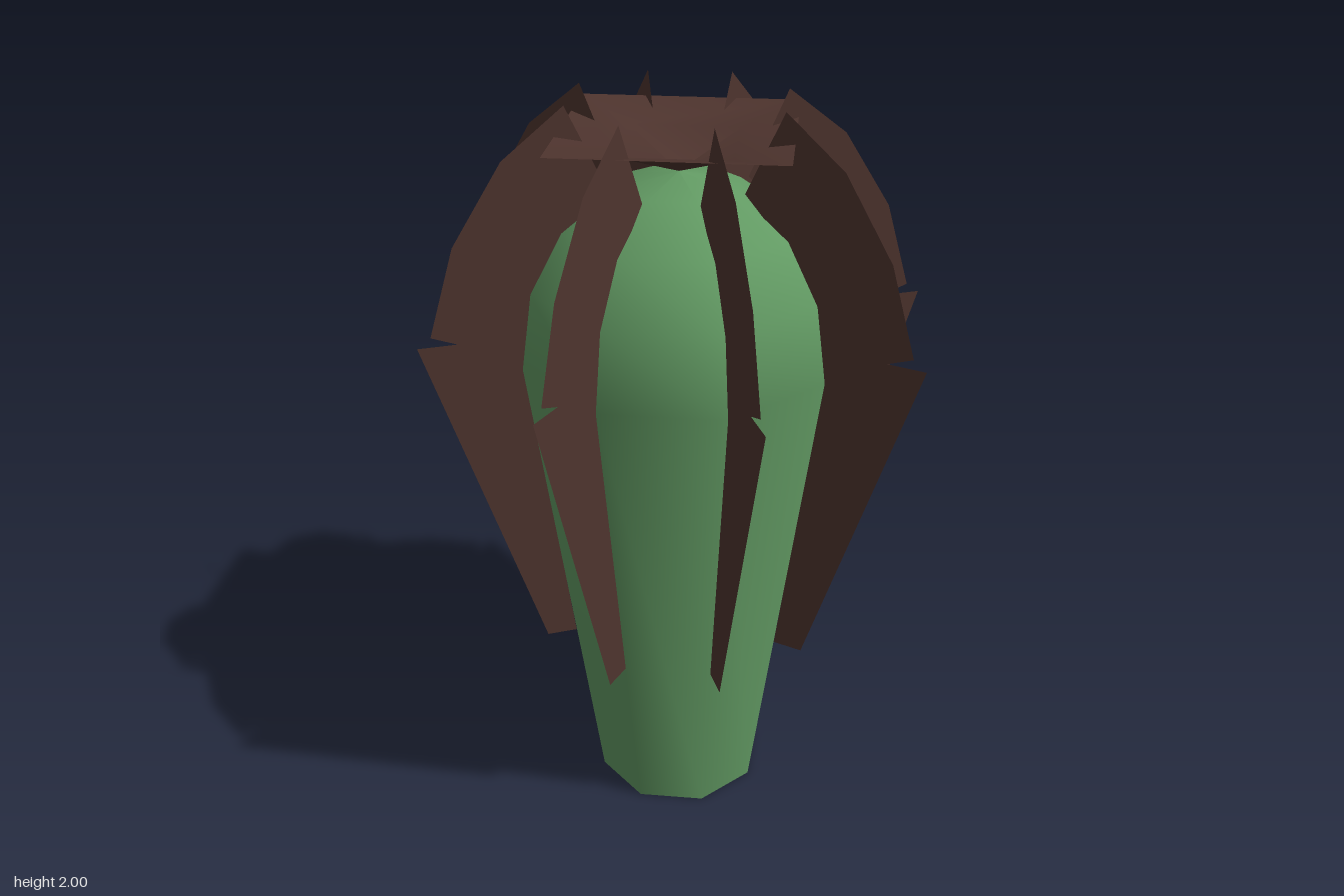
import * as THREE from 'three';

const green = new THREE.MeshStandardMaterial({ color: 0x629a63, side: THREE.DoubleSide });
green.name = 'stemGreen';
const brown = new THREE.MeshStandardMaterial({ color: 0x4e342e, side: THREE.DoubleSide });
brown.name = 'driedBrown';

const points = (list) => list.map(([x, y]) => new THREE.Vector2(x, y));

// Lathe with few sides, turned so that flat sides face the axes
function facetedLathe(name, profile, sides, material) {
  const geometry = new THREE.LatheGeometry(points(profile), sides, Math.PI / sides);
  const mesh = new THREE.Mesh(geometry, material);
  mesh.name = name;
  return mesh;
}

export function createModel() {
  const group = new THREE.Group();
  group.name = 'seedPod';

  // Eight-sided pod, open at the foot and domed at the top
  group.add(facetedLathe('podBody', [
    [0.235, 0], [0.412, 1.34], [0.382, 1.54], [0.298, 1.69], [0.16, 1.79], [0, 1.82],
  ], 8, green));

  // Shallow square bowl on the tip
  group.add(facetedLathe('crownBowl', [
    [0, 1.82], [0.2, 1.892], [0.4, 1.928],
  ], 4, brown));

  // Flat fins along the eight ridges, notched on the outer edge
  const finGeometry = new THREE.ShapeGeometry(new THREE.Shape(points([
    [0.303, 0.51], [0.385, 0.51], [0.67, 1.43], [0.57, 1.43], [0.635, 1.455],
    [0.565, 1.68], [0.435, 1.88], [0.28, 2], [0.18, 1.79], [0.298, 1.67],
    [0.38, 1.53], [0.41, 1.34],
  ])));
  for (let i = 0; i < 8; i++) {
    const fin = new THREE.Mesh(finGeometry, brown);
    fin.name = `fin${i + 1}`;
    fin.rotation.y = ((i + 0.5) * Math.PI) / 4;
    group.add(fin);
  }

  return group;
}
